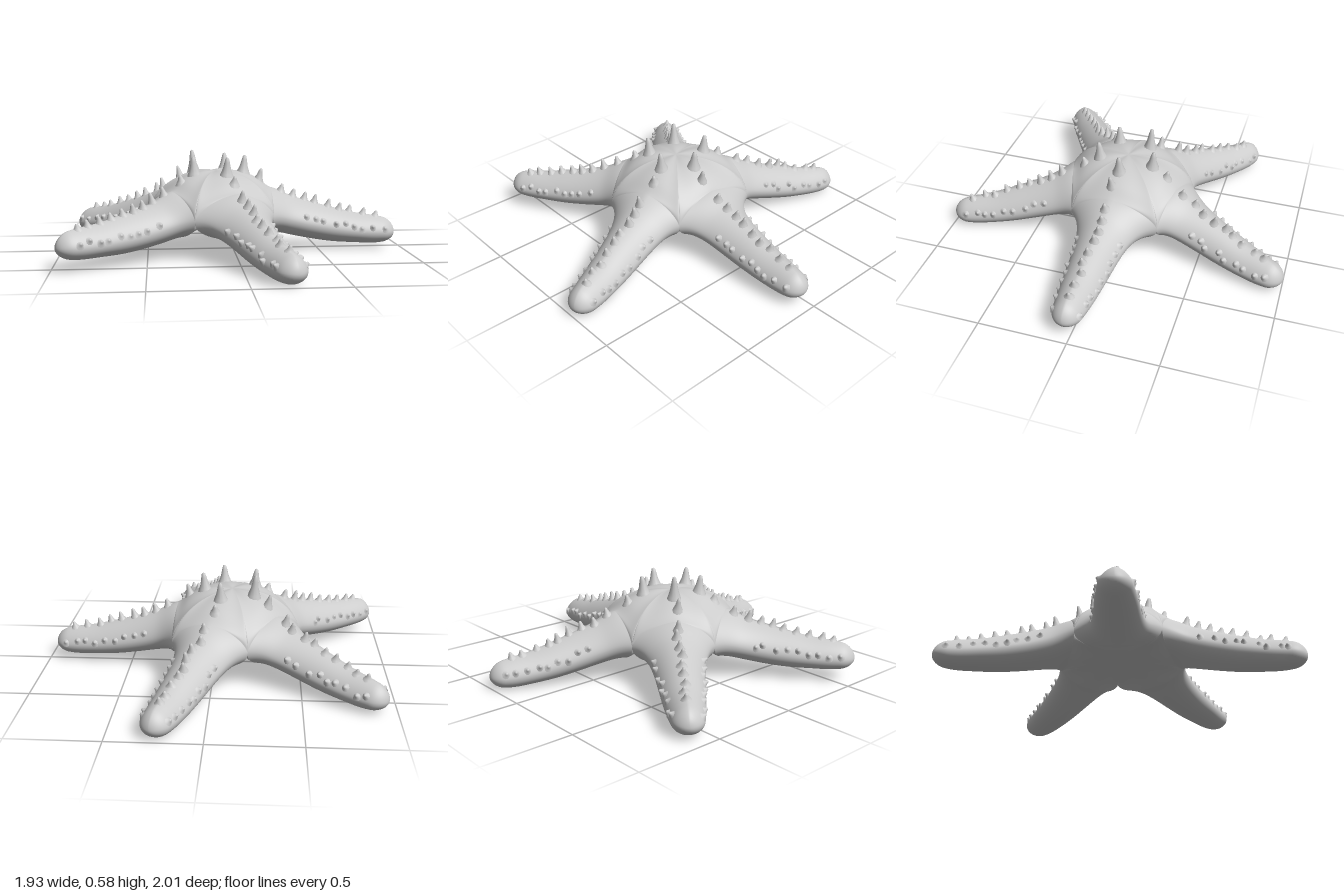
import * as THREE from 'three';
import { mergeGeometries, mergeVertices } from 'three/addons/utils/BufferGeometryUtils.js';

const V2 = (x, y) => new THREE.Vector2(x, y);
const lerp = THREE.MathUtils.lerp;

// Plan layout as (x, z): centre, arm tips, and the notches following each arm
const CENTRE = V2(-0.1, 0);
const TIPS = [V2(0.96, 0.04), V2(0.27, -1), V2(-0.94, -0.64), V2(-0.96, 0.6), V2(0.23, 1)];
const NOTCHES = [V2(0.23, -0.27), V2(-0.2, -0.38), V2(-0.49, -0.03), V2(-0.24, 0.38), V2(0.21, 0.25)];
const LIFT = [0.03, 0, 0.01, 0.065, 0];
const EDGE = 0.217; // rim height at the notches
const TOP = 0.465, UNDER = 0.16; // heights at the centre

// Smooth profile through evenly spaced values
const profile = (...values) => {
  const curve = new THREE.SplineCurve(values.map((v, i) => V2(i, v)));
  return (t) => curve.getPoint(t).y;
};
const discRidge = profile(TOP, 0.468, 0.455, 0.42, 0.365);
const discUnder = profile(UNDER, 0.16, 0.15, 0.135, 0.11);
const armRidge = profile(0.365, 0.312, 0.268, 0.228, 0.19, 0.165, 0.14);
const armUnder = profile(0.11, 0.08, 0.05, 0.025, 0.01, 0, 0.01);
const armWidth = profile(0.17, 0.15, 0.133, 0.12, 0.108, 0.092, 0.072);

let seed = 7;
const rand = () => {
  seed = (seed * 16807) % 2147483647;
  return seed / 2147483647;
};

// Axis, sideways direction and root point of one arm
const ARMS = TIPS.map((tip, i) => {
  const dir = tip.clone().sub(CENTRE).normalize();
  const side = V2(dir.y, -dir.x);
  const notch = [NOTCHES[(i + 4) % 5], NOTCHES[i]];
  const reach = (notch[0].clone().sub(CENTRE).dot(dir) + notch[1].clone().sub(CENTRE).dot(dir)) / 2;
  return { tip, dir, side, notch, lift: LIFT[i], root: CENTRE.clone().addScaledVector(dir, reach) };
});

// Skin point: s runs 0..1 over the disc and 1..2 along the arm, u runs -1..1 across
function skin(arm, s, u, top) {
  const across = Math.abs(u);
  const sign = u < 0 ? -1 : 1;
  const notch = arm.notch[u < 0 ? 0 : 1];
  const round = Math.sqrt(Math.max(0, 1 - u * u));
  const body = top ? 0.62 * round + 0.38 * (1 - across) * (1 + 0.5 * across) : round;
  let spine, rim, y;
  if (s <= 1) {
    spine = CENTRE.clone().lerp(arm.root, s);
    rim = CENTRE.clone().lerp(notch, s);
    const seam = top
      ? EDGE + (TOP - EDGE) * Math.pow(1 - Math.pow(s, 2.5), 0.6)
      : EDGE + (UNDER - EDGE) * Math.sqrt(1 - s ** 4);
    const soft = Math.cos(u * Math.PI / 2) ** 2;
    y = lerp(seam, (top ? discRidge : discUnder)(s), lerp(soft, body, s ** 4));
  } else {
    const t = Math.min(1, s - 1);
    const cap = t > 0.9 ? Math.sqrt(Math.max(0, 1 - ((t - 0.9) / 0.1) ** 2)) : 1;
    spine = arm.root.clone().lerp(arm.tip, t);
    rim = spine.clone().addScaledVector(arm.side, sign * armWidth(t) * cap);
    const flare = notch.clone().sub(arm.root).addScaledVector(arm.side, -sign * armWidth(0));
    rim.addScaledVector(flare, (1 - t) ** 12);
    const r = armRidge(t), b = armUnder(t);
    const mid = lerp(lerp(b, r, 0.42), EDGE, (1 - t) ** 12);
    y = mid + ((top ? r : b) - mid) * body * cap + arm.lift * t * t * (3 - 2 * t);
  }
  const p = spine.lerp(rim, across);
  return new THREE.Vector3(p.x, y, p.y);
}

// One sheet (upper or lower) of one arm with its share of the disc
function sheet(arm, top) {
  const discRows = 18, armRows = 44, cols = 36;
  const pos = [], index = [];
  const rows = discRows + armRows;
  for (let r = 0; r <= rows; r++) {
    const s = r <= discRows
      ? Math.sin((r / discRows) * Math.PI / 2)
      : 1 + (1 - Math.cos(((r - discRows) / armRows) * Math.PI)) / 2;
    for (let c = 0; c <= cols; c++) {
      const u = c === cols ? 1 : -Math.cos((c / cols) * Math.PI);
      pos.push(...skin(arm, s, u, top).toArray());
      if (r === rows || c === cols) continue;
      const a = r * (cols + 1) + c, b = a + cols + 1;
      if (top) index.push(a, b, a + 1, b, b + 1, a + 1);
      else index.push(a, a + 1, b, b, a + 1, b + 1);
    }
  }
  const geo = new THREE.BufferGeometry();
  geo.setAttribute('position', new THREE.Float32BufferAttribute(pos, 3));
  geo.setIndex(index);
  return geo;
}

// Blunt spine with a flared foot sunk into the skin
const SPINE = new THREE.LatheGeometry(
  [V2(1.5, -0.35), V2(1, 0.05), V2(0.66, 0.35), V2(0.45, 0.7), V2(0.28, 0.93), V2(0, 1)], 10);

function tubercle(arm, s, u, radius, height, lean) {
  const geo = SPINE.clone().scale(radius, height, radius);
  const out = new THREE.Vector3(lean.x, lean.y, lean.z).normalize();
  geo.applyQuaternion(new THREE.Quaternion().setFromUnitVectors(new THREE.Vector3(0, 1, 0), out));
  const p = skin(arm, s, u, true);
  return geo.translate(p.x, p.y, p.z);
}

export function createModel() {
  const group = new THREE.Group();
  const material = new THREE.MeshStandardMaterial({ color: 0xcccccc, side: THREE.DoubleSide });
  const add = (geo, name) => {
    const mesh = new THREE.Mesh(geo, material);
    mesh.name = name;
    group.add(mesh);
  };

  // Continuous skin of disc and five arms
  const skinGeo = mergeVertices(
    mergeGeometries(ARMS.flatMap((arm) => [sheet(arm, true), sheet(arm, false)])), 1e-4);
  skinGeo.computeVertexNormals();
  add(skinGeo, 'starfishBody');

  const crown = [], ridge = [], rim = [];
  ARMS.forEach((arm, i) => {
    const lean = (up, along, across) => new THREE.Vector3(
      arm.dir.x * along + arm.side.x * across, up, arm.dir.y * along + arm.side.y * across);

    // Large spine on the disc
    crown.push(tubercle(arm, 0.5, 0, 0.036, i === 2 ? 0.125 : 0.1, lean(1, 0.1, 0)));

    // Row of shrinking spines down the ridge
    for (let k = 0; k < 10; k++) {
      const t = k / 10;
      const u = (rand() - 0.5) * 0.16;
      const h = lerp(0.055, 0.026, t) * (0.75 + 0.5 * rand());
      const s = k === 0 ? 0.78 : 0.98 + t * 0.95 + (rand() - 0.5) * 0.03;
      ridge.push(tubercle(arm, s, u, lerp(0.026, 0.02, t), h, lean(1, 0.25, u)));
    }

    // Low knobs along both flanks
    for (const sign of [-1, 1]) {
      for (let k = 0; k < 9; k++) {
        const s = 1.25 + k * 0.08 + (rand() - 0.5) * 0.04;
        const u = sign * (0.86 + rand() * 0.1);
        rim.push(tubercle(arm, s, u, 0.018, 0.012 + rand() * 0.01, lean(0.6, 0.1, sign)));
      }
    }
  });
  add(mergeGeometries(crown), 'crownSpines');
  add(mergeGeometries(ridge), 'ridgeSpines');
  add(mergeGeometries(rim), 'flankKnobs');
  return group;
}
